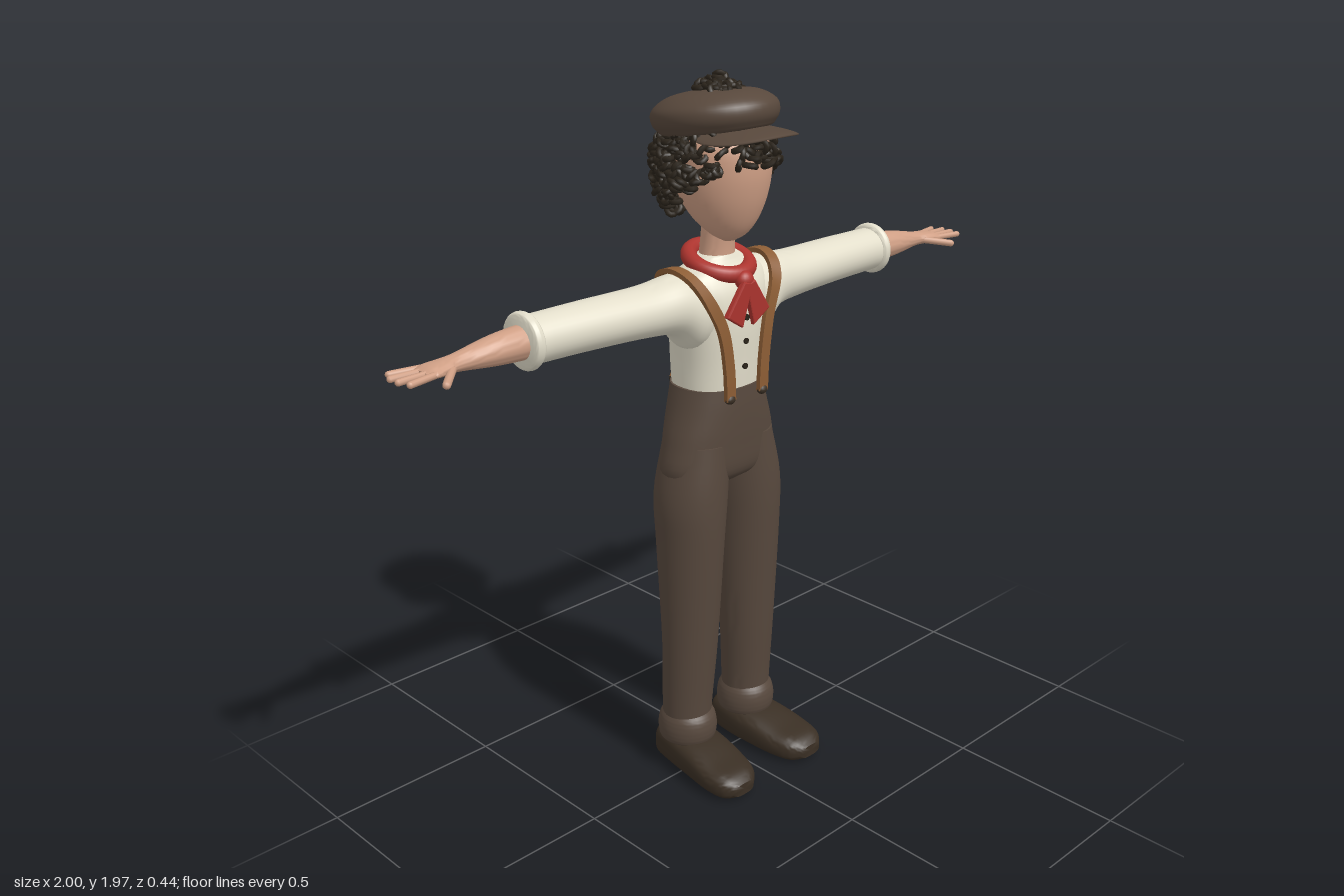
import * as THREE from 'three';
import { mergeGeometries, toCreasedNormals } from 'three/addons/utils/BufferGeometryUtils.js';

const V = (x, y, z) => new THREE.Vector3(x, y, z);
const material = (name, color, side = THREE.FrontSide) => {
  const m = new THREE.MeshStandardMaterial({ color, side });
  m.name = name;
  return m;
};

// Smooth skin over rounded cross-sections [pos, centreU, centreV, radiusU, radiusV]
// along axis k (0 x, 1 y, 2 z); u and v are the next two axes in cyclic order.
function loft(k, sections, power = 1, steps = 5, sides = 32) {
  const centres = new THREE.CatmullRomCurve3(sections.map(s => V(s[0], s[1], s[2])), false, 'catmullrom');
  const radii = new THREE.CatmullRomCurve3(sections.map(s => V(s[3], s[4], 0)), false, 'catmullrom');
  const rows = (sections.length - 1) * steps;
  const pos = [], idx = [];
  const put = (a, u, v) => {
    const p = [0, 0, 0];
    p[k] = a; p[(k + 1) % 3] = u; p[(k + 2) % 3] = v;
    pos.push(...p);
  };
  const round = c => Math.sign(c) * Math.abs(c) ** power;
  for (let i = 0; i <= rows; i++) {
    const c = centres.getPoint(i / rows), r = radii.getPoint(i / rows);
    for (let j = 0; j < sides; j++) {
      const t = j / sides * Math.PI * 2;
      put(c.x, c.y + r.x * round(Math.cos(t)), c.z + r.y * round(Math.sin(t)));
    }
  }
  const at = (i, j) => i * sides + j % sides;
  for (let i = 0; i < rows; i++) for (let j = 0; j < sides; j++)
    idx.push(at(i, j), at(i, j + 1), at(i + 1, j + 1), at(i, j), at(i + 1, j + 1), at(i + 1, j));
  const n = (rows + 1) * sides, first = sections[0], last = sections[sections.length - 1];
  put(first[0], first[1], first[2]);
  put(last[0], last[1], last[2]);
  for (let j = 0; j < sides; j++)
    idx.push(n, at(0, j + 1), at(0, j), n + 1, at(rows, j), at(rows, j + 1));
  const g = new THREE.BufferGeometry();
  g.setAttribute('position', new THREE.Float32BufferAttribute(pos, 3));
  g.setIndex(idx);
  return toCreasedNormals(g, 0.9);
}

// Flat band following a path over the torso
function band(points, width, thick, rows = 50) {
  const curve = new THREE.CatmullRomCurve3(points);
  const pos = [], idx = [];
  for (let i = 0; i <= rows; i++) {
    const p = curve.getPoint(i / rows), t = curve.getTangent(i / rows);
    const out = V(0, Math.max(0, p.y - 1.39), (p.z + 0.03) * 0.7).normalize();
    const side = t.clone().cross(out).normalize();
    out.crossVectors(side, t);
    for (const [a, b] of [[1, 1], [-1, 1], [-1, -1], [1, -1]])
      pos.push(...p.clone().addScaledVector(side, a * width / 2).addScaledVector(out, b * thick / 2).toArray());
  }
  for (let i = 0; i < rows; i++) for (let j = 0; j < 4; j++) {
    const a = i * 4 + j, b = i * 4 + (j + 1) % 4;
    idx.push(a, b + 4, b, a, a + 4, b + 4);
  }
  const g = new THREE.BufferGeometry();
  g.setAttribute('position', new THREE.Float32BufferAttribute(pos, 3));
  g.setIndex(idx);
  return toCreasedNormals(g, 0.7);
}

// Round-ended rod between two points
function rod(a, b, r) {
  const d = b.clone().sub(a), g = new THREE.CapsuleGeometry(r, d.length(), 5, 10);
  g.applyQuaternion(new THREE.Quaternion().setFromUnitVectors(V(0, 1, 0), d.normalize()));
  const m = a.clone().add(b).multiplyScalar(0.5);
  return g.translate(m.x, m.y, m.z);
}

export function createModel() {
  const model = new THREE.Group();
  const skin = material('skin', 0xcf9f85), shirt = material('shirt', 0xe3decb);
  const trousers = material('trousers', 0x57483d), felt = material('cap felt', 0x58483c);
  const hair = material('hair', 0x2a231a, THREE.DoubleSide), shoe = material('shoe leather', 0x3a2f24);
  const red = material('scarf red', 0xac342e), leather = material('strap leather', 0x8c5d35, THREE.DoubleSide);

  const add = (name, geometry, mat, parent = model) => {
    const mesh = new THREE.Mesh(geometry, mat);
    mesh.name = name;
    parent.add(mesh);
    return mesh;
  };
  let seed = 7;
  const rnd = () => (seed = (seed * 16807) % 2147483647) / 2147483647;

  // Torso, hips, neck and head
  add('shirtBody', loft(1, [[1.14, -.03, 0, .102, .122], [1.22, -.03, 0, .107, .125], [1.32, -.025, 0, .107, .135],
    [1.4, -.025, 0, .1, .148], [1.45, -.025, 0, .078, .14], [1.482, -.025, 0, .055, .085], [1.5, -.025, 0, .045, .055]], 0.82), shirt);
  add('hips', loft(1, [[.87, -.025, 0, .05, .1], [.91, -.025, 0, .095, .185], [1, -.025, 0, .105, .175],
    [1.09, -.028, 0, .11, .148], [1.152, -.03, 0, .109, .13]], 0.9), trousers);
  add('neck', loft(1, [[1.44, -.03, 0, .05, .055], [1.52, -.025, 0, .044, .048], [1.6, -.015, 0, .044, .048]]), skin);
  add('head', loft(1, [[1.54, .02, 0, .015, .02], [1.56, .016, 0, .05, .052], [1.6, .005, 0, .088, .087],
    [1.66, -.005, 0, .12, .114], [1.73, -.01, 0, .135, .126], [1.8, -.015, 0, .13, .124], [1.86, -.02, 0, .08, .08]]), skin);

  // Arms, legs and straps, made for the left and mirrored
  for (const side of [1, -1]) {
    const half = new THREE.Group();
    half.name = side > 0 ? 'leftSide' : 'rightSide';
    half.scale.x = side;
    model.add(half);

    add('sleeve', loft(0, [[.05, 1.37, -.025, .1, .088], [.12, 1.365, -.025, .105, .09], [.18, 1.39, -.022, .078, .08],
      [.27, 1.392, -.025, .066, .075], [.45, 1.395, -.03, .062, .07], [.62, 1.395, -.034, .06, .064]]), shirt, half);
    add('sleeveCuff', loft(0, [[.612, 1.395, -.034, .056, .056], [.617, 1.395, -.034, .068, .068], [.629, 1.395, -.034, .073, .073],
      [.641, 1.395, -.034, .068, .068], [.646, 1.395, -.034, .05, .05]]), shirt, half);
    add('forearmAndPalm', loft(0, [[.61, 1.395, -.033, .045, .045], [.72, 1.393, -.033, .037, .04], [.82, 1.388, -.035, .022, .028],
      [.86, 1.386, -.034, .018, .035], [.9, 1.385, -.032, .014, .042], [.922, 1.384, -.032, .007, .034]]), skin, half);
    const fingers = [[-.064, -.08, .975], [-.044, -.05, .99], [-.022, -.018, .99], [-.002, .014, .98]]
      .map(([z0, z1, x]) => rod(V(.895, 1.385, z0), V(x, 1.384, z1), .0085));
    fingers.push(rod(V(.85, 1.384, -.012), V(.908, 1.374, .047), .01));
    add('fingers', mergeGeometries(fingers), skin, half);

    add('trouserLeg', loft(1, [[.1, -.03, .118, .066, .068], [.2, -.03, .118, .07, .072], [.4, -.022, .113, .078, .08],
      [.7, -.022, .109, .098, .091], [.85, -.025, .102, .105, .098], [1.0, -.025, .08, .098, .085]]), trousers, half);
    add('trouserCuff', loft(1, [[.09, -.03, .118, .07, .07], [.1, -.03, .118, .082, .08], [.13, -.03, .118, .086, .083],
      [.16, -.03, .118, .081, .078], [.18, -.03, .118, .068, .068]]), trousers, half);
    add('shoe', loft(2, [[-.125, .113, .045, .035, .04], [-.105, .114, .053, .06, .052], [-.03, .116, .055, .075, .055],
      [.05, .122, .05, .08, .05], [.13, .13, .04, .08, .04], [.19, .135, .034, .066, .034], [.222, .137, .03, .035, .018]], 0.65), shoe, half);

    // Strap runs from the front waist over the shoulder and crosses behind
    add('strap', band([V(.06, 1.13, .084), V(.065, 1.22, .084), V(.085, 1.33, .08), V(.13, 1.425, .061), V(.149, 1.466, .026),
      V(.155, 1.479, -.02), V(.145, 1.458, -.08), V(.1, 1.36, -.126), V(.03, 1.24, -.145), V(-.045, 1.13, -.147)], .032, .013), leather, half);
    add('strapClips', mergeGeometries([[.06, .084], [-.045, -.147]].map(([x, z]) =>
      new THREE.SphereGeometry(1, 12, 8).scale(.017, .013, .012).translate(x, 1.132, z))), shoe, half);

    // Flared scarf tail
    const tail = new THREE.Shape([[-.008, 0], [.018, .005], [.072, -.075], [.022, -.108]].map(p => new THREE.Vector2(...p)).reverse());
    add('scarfTail', new THREE.ExtrudeGeometry(tail, { depth: .01, bevelSize: .004, bevelThickness: .004, bevelSegments: 2 })
      .rotateX(.04).translate(0, 1.435, .083), red, half);
  }

  // Scarf ring and knot
  const ring = add('scarfRing', new THREE.TorusGeometry(.08, .022, 14, 40).rotateX(Math.PI / 2), red);
  ring.position.set(0, 1.48, -.02);
  ring.rotation.x = .3;
  add('scarfKnot', new THREE.SphereGeometry(1, 20, 14).scale(.027, .026, .022).translate(0, 1.442, .075), red);

  // Shirt buttons
  [[1.345, .084], [1.28, .081], [1.21, .078]].forEach(([y, z]) =>
    add('button', new THREE.CylinderGeometry(.008, .008, .008, 14).rotateX(Math.PI / 2).translate(0, y, z), hair));

  // Cap crown and peak
  const crown = [[0, -.04], [.12, -.045], [.148, -.03], [.159, -.005], [.152, .022], [.115, .047], [.06, .058], [0, .06]];
  const crownLine = new THREE.SplineCurve(crown.map(p => new THREE.Vector2(...p))).getPoints(32);
  crownLine.forEach(p => { p.x = Math.max(0, p.x); });
  const cap = add('capCrown', new THREE.LatheGeometry(crownLine, 40).scale(1, 1, 1.08), felt);
  cap.position.set(0, 1.858, -.033);
  cap.rotation.x = -.15;
  const peak = new THREE.SphereGeometry(1, 32, 16).scale(.135, .012, .14).translate(0, 1.828, .07);
  const pp = peak.attributes.position;
  for (let i = 0; i < pp.count; i++) pp.setY(i, pp.getY(i) - pp.getX(i) ** 2 * 1.2);
  peak.computeVertexNormals();
  add('capPeak', peak, felt);

  // Hair base and scattered curls
  const base = add('hairBase', new THREE.SphereGeometry(1, 32, 14, 0, Math.PI * 2, 0, Math.PI / 2).scale(.138, .14, .148), hair);
  base.position.set(0, 1.69, -.03);
  base.rotation.x = -.54;
  const curl = (x, y, z) => new THREE.TorusGeometry(.011 + rnd() * .004, .0075, 6, 10)
    .rotateX(rnd() * 6).rotateY(rnd() * 6).translate(x, y, z);
  const curls = [];
  while (curls.length < 420) {
    const h = rnd() * 2 - 1, a = rnd() * Math.PI * 2, r = Math.sqrt(1 - h * h), f = .94 + rnd() * .12;
    const x = .142 * f * r * Math.cos(a), y = 1.72 + .16 * f * h, z = -.03 + .165 * f * r * Math.sin(a);
    if (y < 1.825 && y > Math.min(1.748, 1.585 + (z + .15) * .65)) curls.push(curl(x, y, z));
  }
  add('curls', mergeGeometries(curls), hair);

  // Tuft of curls on top of the cap
  const tuft = [];
  for (let i = 0; i < 42; i++) {
    const a = rnd() * Math.PI * 2, r = Math.sqrt(rnd());
    tuft.push(curl(r * .058 * Math.cos(a), 1.918 + (1 - r) * .035 * (.5 + rnd() * .5), -.018 + r * .06 * Math.sin(a)));
  }
  add('topTuft', mergeGeometries(tuft), hair);
  return model;
}
